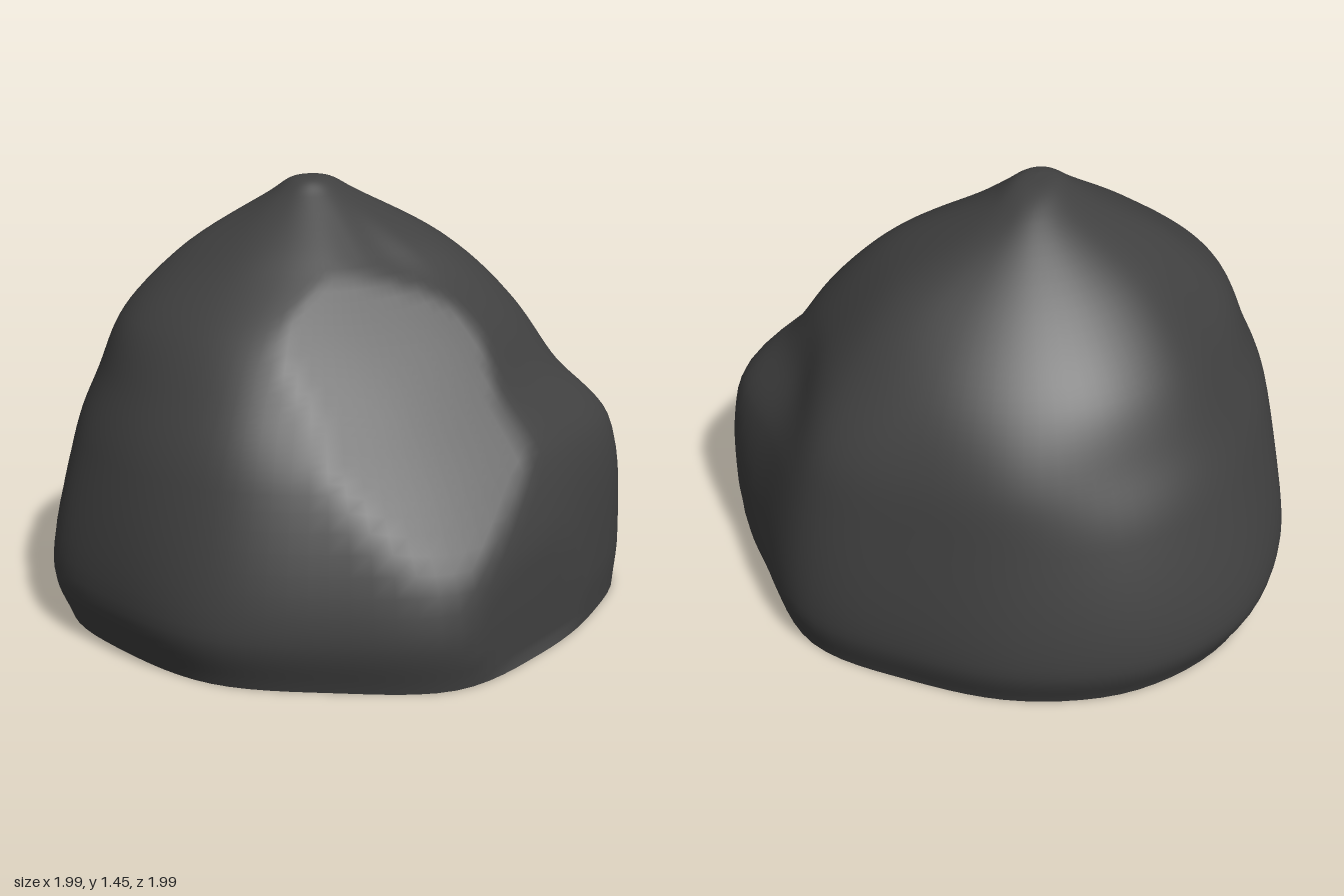
import * as THREE from 'three';
import { mergeVertices } from 'three/addons/utils/BufferGeometryUtils.js';

// Cross-sections of the boulder: 16 radii each, running from +x round through +z
const SECTIONS = [
  { y: 0.18, radii: [.98, .98, 1.04, .98, .99, .96, .975, .905, .97, 1.04, 1.05, 1.02, 1.0, 1.05, 1.01, 1.06] },
  { y: 0.6, radii: [.91, .88, .90, .85, .865, .87, .87, .85, .86, .92, .94, .93, .92, .98, .93, 1.01] },
  { y: 0.8, radii: [.74, .73, .74, .71, .755, .78, .78, .77, .76, .82, .84, .86, .86, .91, .81, .82] },
  { y: 1.0, radii: [.60, .58, .56, .57, .61, .65, .68, .68, .65, .70, .72, .73, .74, .76, .70, .67] },
  { y: 1.2, radii: [.36, .30, .30, .33, .365, .41, .44, .48, .48, .50, .51, .52, .53, .55, .49, .45] },
];
// Flat fracture faces: normal and distance from the origin
const FACETS = [
  { normal: new THREE.Vector3(.95, 0, .32).normalize(), distance: .95 },
  { normal: new THREE.Vector3(.55, .62, .55).normalize(), distance: 1.0 },
  { normal: new THREE.Vector3(.725, 0, -.69).normalize(), distance: 1.01 },
];
const APEX = new THREE.Vector3(-0.05, 1.445, -0.01);
const COLUMNS = 16, AROUND = 96, UP = 60;

// One column of the boulder, from the tucked-in foot to the rounded apex
function makeColumn(c) {
  const a = (c / COLUMNS) * Math.PI * 2;
  const cos = Math.cos(a), sin = Math.sin(a);
  const at = (r, y) => new THREE.Vector3(cos * r, y, sin * r);
  const foot = SECTIONS[0].radii[c] * (1 - 0.065 * Math.abs(Math.sin(a / 2)));
  const walls = SECTIONS.map(({ y, radii }) => at(radii[c], y));
  const crown = new THREE.Vector3(-0.06 + cos * 0.14, 1.385, -0.06 + sin * 0.18);
  const dome = crown.clone().lerp(APEX, 0.55).setY(1.435);
  return new THREE.CatmullRomCurve3([at(foot, 0), ...walls, crown, dome, APEX]);
}

// Presses points that stand proud of a fracture face back onto it
function chisel(point) {
  for (const { normal, distance } of FACETS) {
    const excess = point.dot(normal) - distance;
    if (excess > 0 && point.y > 0) point.addScaledVector(normal, -excess * 0.9);
  }
  return point;
}

// Smooth closed rings through all columns
function makeRings() {
  const columns = Array.from({ length: COLUMNS }, (_, c) => makeColumn(c));
  const rings = [];
  for (let i = 0; i < UP; i++) {
    const ring = new THREE.CatmullRomCurve3(columns.map((col) => col.getPoint(i / UP)), true);
    rings.push(Array.from({ length: AROUND }, (_, j) => chisel(ring.getPoint(j / AROUND))));
  }
  rings.push(Array.from({ length: AROUND }, () => APEX.clone()));
  return rings;
}

function meshFrom(name, points, index, material) {
  let geometry = new THREE.BufferGeometry().setFromPoints(points);
  geometry.setIndex(index);
  geometry = mergeVertices(geometry, 1e-5);
  geometry.computeVertexNormals();
  const mesh = new THREE.Mesh(geometry, material);
  mesh.name = name;
  return mesh;
}

export function createModel() {
  const group = new THREE.Group();
  group.name = 'boulder';
  const stone = new THREE.MeshStandardMaterial({ color: 0x404040 });
  const rings = makeRings();

  // Weathered outer surface
  const index = [];
  for (let i = 0; i < UP; i++) {
    for (let j = 0; j < AROUND; j++) {
      const p = i * AROUND + j, q = i * AROUND + ((j + 1) % AROUND);
      index.push(p, p + AROUND, q);
      if (i < UP - 1) index.push(q, p + AROUND, q + AROUND);
    }
  }
  group.add(meshFrom('rockSurface', rings.flat(), index, stone));

  // Flat underside
  const base = [];
  for (let j = 0; j < AROUND; j++) base.push(AROUND, j, (j + 1) % AROUND);
  group.add(meshFrom('flatBase', [...rings[0], new THREE.Vector3()], base, stone));

  return group;
}
